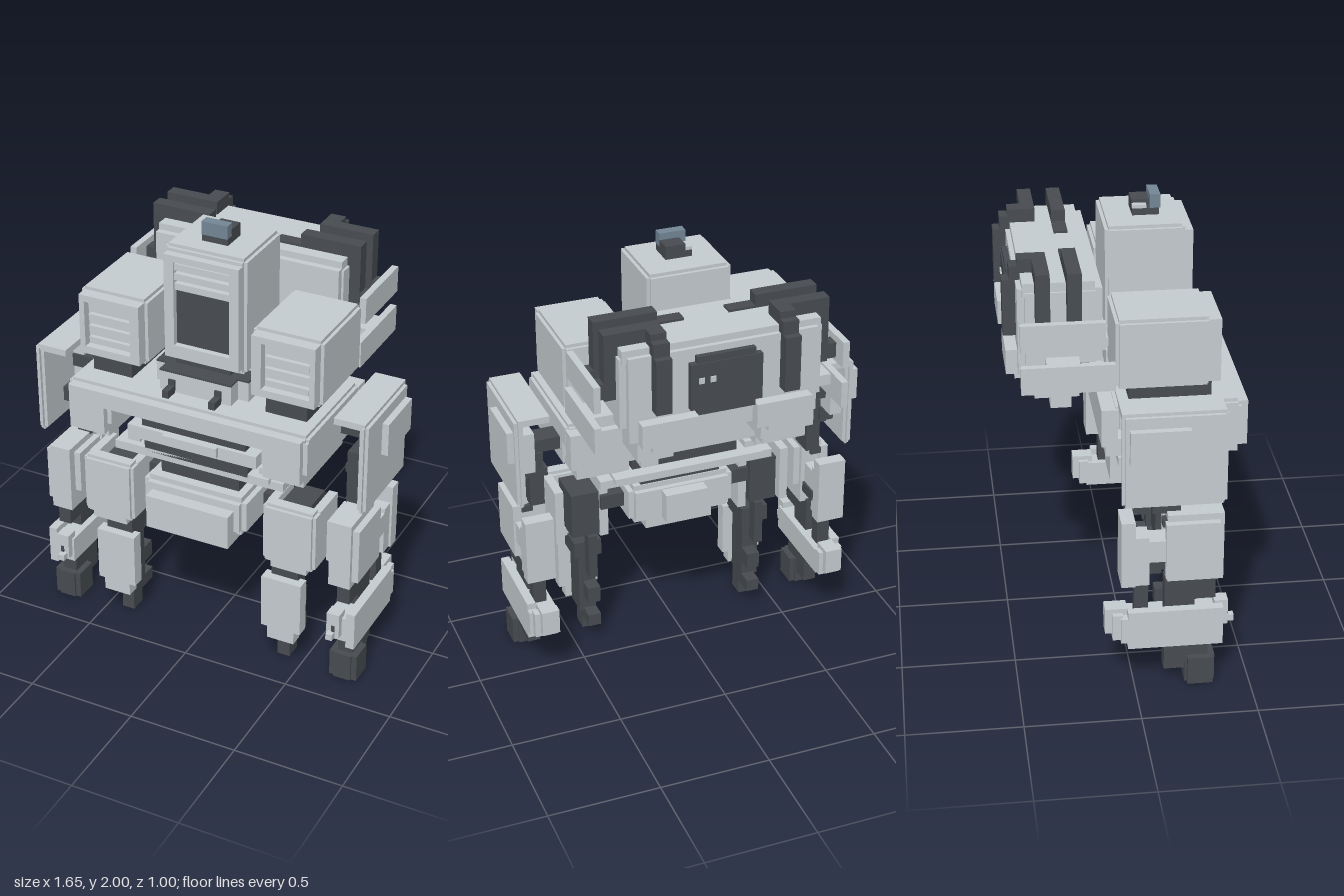
import * as THREE from 'three';

export function createModel() {
  const root = new THREE.Group();
  root.name = 'walkerRobot';
  const mat = (name, color) => {
    const m = new THREE.MeshStandardMaterial({ color });
    m.name = name;
    return m;
  };
  const light = mat('light grey armour', 0xc6cdd1);
  const dark = mat('dark grey frame', 0x484c51);
  const slate = mat('slate blue lens', 0x748796);

  // box from extents; optional mirrored twin across x = 0
  const box = (name, m, x0, x1, y0, y1, z0, z1) => {
    const mesh = new THREE.Mesh(new THREE.BoxGeometry(x1 - x0, y1 - y0, z1 - z0), m);
    mesh.position.set((x0 + x1) / 2, (y0 + y1) / 2, (z0 + z1) / 2);
    mesh.name = name;
    root.add(mesh);
  };
  const pair = (name, m, x0, x1, ...r) => {
    box(name + 'Left', m, x0, x1, ...r);
    box(name + 'Right', m, -x1, -x0, ...r);
  };
  const mid = (name, m, w, ...r) => box(name, m, -w, w, ...r);
  // box whose twelve edges are notched by c
  const notched = (put, name, m, x0, x1, y0, y1, z0, z1, c = 0.015) => {
    put(name, m, x0, x1, y0 + c, y1 - c, z0 + c, z1 - c);
    put(name + 'Height', m, x0 + c, x1 - c, y0, y1, z0 + c, z1 - c);
    put(name + 'Depth', m, x0 + c, x1 - c, y0 + c, y1 - c, z0, z1);
  };

  // head tower with a framed window and vents
  notched(box, 'headTower', light, -0.19, 0.19, 1.37, 1.91, -0.06, 0.28);
  pair('headFrameSide', light, 0.13, 0.175, 1.4, 1.88, 0.26, 0.315);
  mid('headFrameTop', light, 0.13, 1.85, 1.88, 0.26, 0.315);
  mid('headFrameBottom', light, 0.13, 1.4, 1.46, 0.26, 0.315);
  mid('headWindow', dark, 0.13, 1.46, 1.72, 0.275, 0.288);
  for (let i = 0; i < 3; i++)
    mid('headVent', light, 0.13, 1.72 + i * 0.045, 1.75 + i * 0.045, 0.27, 0.305);
  mid('neck', dark, 0.13, 1.37, 1.4, 0.0, 0.3);
  mid('collar', light, 0.22, 1.27, 1.36, -0.06, 0.31);
  mid('collarFront', light, 0.17, 1.27, 1.36, 0.31, 0.375);
  mid('collarTop', dark, 0.22, 1.36, 1.368, 0.22, 0.31);
  mid('collarFrontTop', dark, 0.17, 1.36, 1.368, 0.31, 0.375);
  pair('chinGunMount', dark, 0.095, 0.125, 1.28, 1.33, 0.37, 0.385);
  pair('chinGun', dark, 0.095, 0.125, 1.27, 1.305, 0.38, 0.44);

  // sensor on the head
  mid('sensorBase', dark, 0.06, 1.9, 1.94, 0.07, 0.185);
  box('sensorBack', dark, -0.03, 0.06, 1.94, 1.97, 0.07, 0.15);
  box('sensorCap', light, -0.06, -0.03, 1.94, 1.955, 0.07, 0.13);
  mid('sensorLens', slate, 0.06, 1.94, 2, 0.145, 0.19);

  // shoulder pods with louvred fronts
  notched(pair, 'pod', light, 0.25, 0.57, 1.34, 1.65, -0.06, 0.34);
  pair('podFrameInner', light, 0.265, 0.31, 1.355, 1.635, 0.32, 0.38);
  pair('podFrameOuter', light, 0.53, 0.555, 1.355, 1.635, 0.32, 0.38);
  pair('podFrameTop', light, 0.31, 0.53, 1.605, 1.635, 0.32, 0.38);
  pair('podFrameBottom', light, 0.31, 0.53, 1.355, 1.39, 0.32, 0.38);
  for (let i = 0; i < 4; i++)
    pair('podLouvre', light, 0.32, 0.52, 1.4 + i * 0.055, 1.43 + i * 0.055, 0.33, 0.36);
  pair('podMount', dark, 0.32, 0.51, 1.27, 1.34, 0.0, 0.35);

  // chest
  notched(box, 'chest', light, -0.57, 0.57, 1.15, 1.27, -0.06, 0.47);
  mid('chestBrow', light, 0.55, 1.18, 1.255, 0.44, 0.5);
  pair('chestCheek', light, 0.36, 0.57, 1.09, 1.24, 0.0, 0.47);
  pair('chestCheekFront', light, 0.38, 0.55, 1.05, 1.19, 0.3, 0.5);
  pair('chestCheekLower', light, 0.38, 0.55, 1.02, 1.09, 0.06, 0.46);
  mid('chestBack', light, 0.57, 1.08, 1.25, -0.12, -0.05);
  pair('chestBackLower', light, 0.3, 0.54, 1.02, 1.1, -0.1, 0.08);

  // tapering belly in alternating tiers
  mid('bellyUpper', dark, 0.25, 1.08, 1.16, 0.0, 0.4);
  mid('bellyPlate', light, 0.31, 1.02, 1.08, -0.03, 0.42);
  mid('bellyPlateTab', light, 0.13, 1.035, 1.08, 0.41, 0.44);
  mid('bellyLower', dark, 0.25, 0.94, 1.03, 0.0, 0.38);
  mid('skirt', light, 0.35, 0.93, 0.955, -0.06, 0.38);
  mid('skirtRim', light, 0.41, 0.9, 0.94, -0.03, 0.36);
  pair('skirtHorn', light, 0.29, 0.35, 0.94, 0.985, 0.0, 0.35);
  mid('waist', dark, 0.19, 0.82, 0.91, 0.06, 0.34);

  // pelvis
  notched(box, 'pelvis', light, -0.25, 0.25, 0.64, 0.83, 0.03, 0.41, 0.025);
  mid('pelvisFront', light, 0.2, 0.61, 0.77, 0.3, 0.47);
  mid('pelvisKeel', light, 0.16, 0.58, 0.66, 0.08, 0.42);
  mid('pelvisTail', light, 0.1, 0.66, 0.8, -0.03, 0.06);
  pair('hipAxle', dark, 0.23, 0.36, 0.7, 0.77, 0.12, 0.22);

  // legs
  notched(pair, 'thighPlate', light, 0.32, 0.57, 0.535, 0.83, 0.3, 0.38);
  pair('thighPlateLower', light, 0.36, 0.53, 0.51, 0.55, 0.26, 0.37);
  pair('thighInner', light, 0.32, 0.36, 0.55, 0.82, 0.14, 0.32);
  pair('thighOuter', light, 0.53, 0.57, 0.55, 0.82, 0.14, 0.32);
  pair('thighCore', dark, 0.37, 0.5, 0.58, 0.8, 0.12, 0.3);
  pair('knee', dark, 0.35, 0.48, 0.44, 0.52, 0.16, 0.34);
  pair('kneePiston', dark, 0.39, 0.43, 0.36, 0.58, 0.1, 0.16);
  pair('shinPlate', light, 0.32, 0.51, 0.19, 0.45, 0.32, 0.38);
  pair('shinPlateLower', light, 0.35, 0.48, 0.13, 0.2, 0.32, 0.38);
  pair('shinBone', dark, 0.37, 0.45, 0.12, 0.46, 0.2, 0.32);
  pair('shinPiston', dark, 0.37, 0.43, 0.2, 0.28, 0.13, 0.2);
  pair('foot', dark, 0.37, 0.43, 0, 0.14, 0.23, 0.31);
  pair('heel', dark, 0.37, 0.43, 0.07, 0.13, 0.13, 0.24);

  // arms: shoulder shield
  pair('shoulderAxle', dark, 0.56, 0.77, 1.115, 1.175, 0.03, 0.13);
  pair('shoulderHub', dark, 0.69, 0.77, 0.98, 1.05, 0.06, 0.22);
  pair('shoulderBlock', light, 0.7, 0.77, 1.05, 1.24, -0.02, 0.12);
  notched(pair, 'shield', light, 0.755, 0.795, 0.9, 1.335, -0.06, 0.38);
  pair('shieldTop', light, 0.64, 0.78, 1.305, 1.335, -0.06, 0.37);
  pair('shieldBadge', light, 0.79, 0.825, 1.12, 1.27, -0.03, 0.22);

  // arms: upper arm, forearm and fist
  pair('upperArm', dark, 0.635, 0.7, 0.82, 1.08, 0.08, 0.2);
  pair('elbowPin', dark, 0.61, 0.74, 0.95, 0.99, 0.1, 0.16);
  pair('forearm', light, 0.64, 0.74, 0.51, 0.83, 0.14, 0.38);
  pair('forearmOuter', light, 0.73, 0.77, 0.54, 0.8, 0.13, 0.36);
  pair('forearmInner', light, 0.61, 0.65, 0.6, 0.8, 0.16, 0.34);
  pair('forearmCore', dark, 0.65, 0.74, 0.57, 0.62, 0.04, 0.15);
  pair('forearmBridge', light, 0.66, 0.76, 0.62, 0.72, 0.03, 0.15);
  pair('forearmBack', light, 0.64, 0.77, 0.51, 0.82, -0.06, 0.0);
  pair('forearmBackRib', light, 0.66, 0.76, 0.51, 0.74, 0.0, 0.06);
  pair('forearmPin', dark, 0.68, 0.73, 0.77, 0.8, 0.12, 0.16);
  pair('wrist', dark, 0.67, 0.73, 0.35, 0.52, 0.13, 0.26);
  pair('wristFront', dark, 0.67, 0.73, 0.41, 0.51, 0.26, 0.35);
  pair('wristRod', dark, 0.67, 0.73, 0.35, 0.52, 0.0, 0.06);
  pair('handGuard', light, 0.64, 0.77, 0.23, 0.35, -0.06, 0.38);
  pair('handGuardPlate', light, 0.73, 0.77, 0.2, 0.38, -0.03, 0.38);
  pair('handGuardHeel', light, 0.64, 0.755, 0.24, 0.36, -0.095, -0.05);
  pair('handGuardBack', light, 0.66, 0.73, 0.26, 0.38, -0.125, -0.03);
  pair('handGuardFront', light, 0.65, 0.71, 0.26, 0.38, 0.35, 0.41);
  pair('handGuardMuzzle', light, 0.66, 0.69, 0.26, 0.29, 0.38, 0.44);
  pair('handBarrel', dark, 0.675, 0.69, 0.29, 0.32, 0.38, 0.414);
  pair('palm', dark, 0.67, 0.74, 0.1, 0.24, 0.13, 0.32);
  pair('fistInner', dark, 0.64, 0.67, 0, 0.13, 0.23, 0.34);
  pair('fistOuter', dark, 0.74, 0.77, 0, 0.13, 0.23, 0.34);
  pair('fistFront', dark, 0.665, 0.745, 0, 0.13, 0.32, 0.35);
  pair('fistBack', dark, 0.665, 0.745, 0, 0.13, 0.22, 0.25);
  pair('thumb', dark, 0.67, 0.73, 0.06, 0.13, 0.13, 0.23);

  // backpack shell, open from below
  mid('packTop', light, 0.44, 1.72, 1.78, -0.43, -0.13);
  mid('packFront', light, 0.44, 1.42, 1.75, -0.16, -0.1);
  mid('packBack', light, 0.42, 1.36, 1.75, -0.45, -0.39);
  pair('packSide', light, 0.4, 0.45, 1.42, 1.74, -0.42, -0.13);
  mid('packFloor', light, 0.3, 1.42, 1.46, -0.4, -0.06);
  mid('packHatch', dark, 0.16, 1.48, 1.69, -0.48, -0.44);
  mid('packHatchFace', dark, 0.13, 1.45, 1.72, -0.475, -0.44);
  for (const x of [0.05, 0.1])
    box('hatchStud', light, x, x + 0.025, 1.6, 1.625, -0.486, -0.478);
  pair('packLink', dark, 0.1, 0.16, 1.37, 1.43, -0.08, 0.0);
  pair('packSpar', light, 0.13, 0.19, 1.35, 1.46, -0.39, -0.03);
  pair('packPad', light, 0.13, 0.38, 1.35, 1.46, -0.5, -0.43);
  pair('packLeg', light, 0.2, 0.36, 1.22, 1.42, -0.38, -0.19);
  pair('packLegBack', light, 0.2, 0.32, 1.3, 1.4, -0.46, -0.36);
  pair('packLegTip', light, 0.24, 0.32, 1.15, 1.24, -0.31, -0.22);

  // dark straps over the pack
  pair('strapFrontTop', dark, 0.22, 0.5, 1.78, 1.84, -0.25, -0.19);
  pair('strapFrontInner', dark, 0.1, 0.24, 1.74, 1.79, -0.25, -0.19);
  pair('strapFrontSide', dark, 0.44, 0.5, 1.54, 1.8, -0.25, -0.19);
  pair('strapRearTop', dark, 0.25, 0.5, 1.78, 1.84, -0.38, -0.32);
  pair('strapRearSide', dark, 0.44, 0.5, 1.54, 1.8, -0.38, -0.32);
  pair('strapBackTop', dark, 0.25, 0.32, 1.74, 1.84, -0.44, -0.37);
  pair('strapBackStep', dark, 0.25, 0.32, 1.74, 1.81, -0.475, -0.43);
  pair('strapBack', dark, 0.25, 0.32, 1.5, 1.75, -0.505, -0.44);
  pair('strapPeg', dark, 0.49, 0.545, 1.55, 1.62, -0.38, -0.32);
  pair('strapFrontPeg', dark, 0.49, 0.545, 1.55, 1.62, -0.25, -0.19);

  // side wings of the pack
  pair('wingUpper', light, 0.54, 0.57, 1.53, 1.65, -0.45, -0.1);
  pair('wingLower', light, 0.54, 0.57, 1.34, 1.46, -0.45, -0.06);
  pair('wingBracket', light, 0.42, 0.55, 1.4, 1.45, -0.34, -0.2);

  return root;
}
